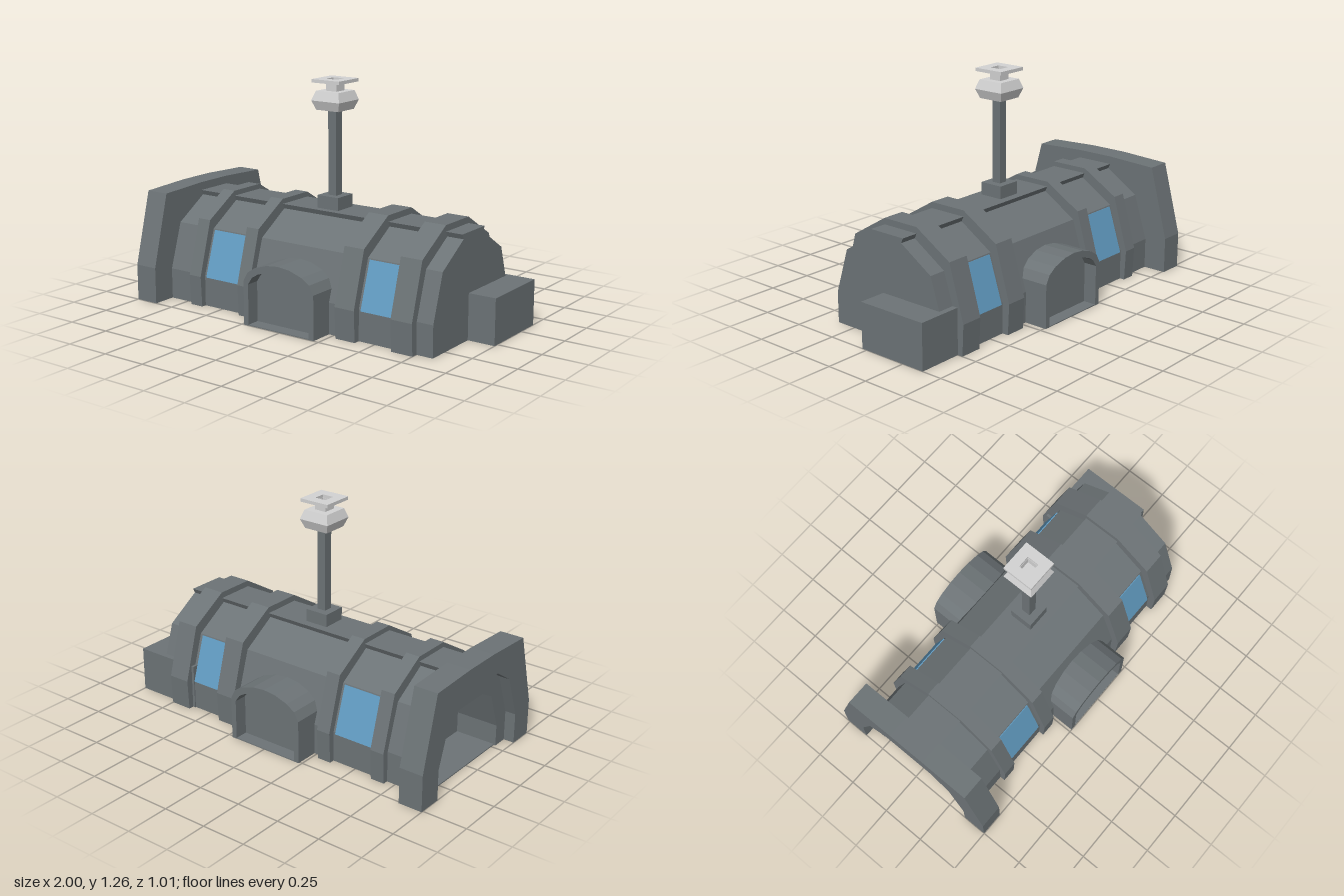
import * as THREE from 'three';

export function createModel() {
  const mat = (name, color) => {
    const m = new THREE.MeshStandardMaterial({ color });
    m.name = name;
    return m;
  };
  const grey = mat('hull grey', 0x6c7376);
  const blue = mat('window blue', 0x629cc2);
  const pale = mat('beacon pale grey', 0xd2d2d2);

  const model = new THREE.Group();
  model.name = 'habitatModule';
  const body = new THREE.Group();
  body.name = 'body';
  body.position.z = -0.006;
  model.add(body);

  const add = (name, geo, material, parent = body) => {
    const m = new THREE.Mesh(geo, material);
    m.name = name;
    parent.add(m);
    return m;
  };
  const box = (name, x0, x1, y0, y1, z0, z1, material, parent = body) => {
    const m = add(name, new THREE.BoxGeometry(x1 - x0, y1 - y0, z1 - z0), material, parent);
    m.position.set((x0 + x1) / 2, (y0 + y1) / 2, (z0 + z1) / 2);
    return m;
  };
  // Half profile [across, up] from the ground to the crown, mirrored into a full arch
  const arch = (half) => [...half, ...half.filter((p) => p[0] > 0).reverse().map(([a, y]) => [-a, y])];
  const shapeOf = (pts) => new THREE.Shape(pts.map(([a, y]) => new THREE.Vector2(a, y)));
  // Arch-shaped band, open at the bottom
  const bandOf = (outer, inner) => shapeOf([...arch(outer), ...arch(inner).reverse()]);
  const extrude = (shape, depth) => new THREE.ExtrudeGeometry(shape, { depth, bevelEnabled: false });
  const alongX = (name, shape, x0, x1) =>
    add(name, extrude(shape, x1 - x0).rotateY(Math.PI / 2).translate(x0, 0, 0), grey);

  // Hull with an overhanging strip along its crown
  const hull = [[0.371, 0], [0.371, 0.17], [0.291, 0.42], [0.097, 0.543], [0.11, 0.57]];
  const tunnel = [[0.28, 0], [0.28, 0.12], [0.21, 0.32], [0.12, 0.37]];
  alongX('hull', shapeOf(arch(hull)), -0.62, 0.845);
  alongX('tunnelHull', bandOf(hull, tunnel), -0.94, -0.62);
  box('tunnelFloor', -0.93, -0.62, 0, 0.006, -0.29, 0.29, grey);

  // Ribs around the hull
  const rib = (top, extra) => shapeOf(arch([
    [0.4 + extra, 0], [0.408 + extra, 0.17], [0.32 + extra, 0.472], [0.11, top],
  ]));
  for (const [x0, x1, top, extra] of [
    [-0.7, -0.62, 0.598, 0], [-0.36, -0.28, 0.598, 0],
    [0.285, 0.405, 0.604, 0.007], [0.625, 0.75, 0.604, 0.007],
  ]) alongX('rib', rib(top, extra), x0, x1);

  // Large portal frame at the end
  alongX('endPortal', bandOf(
    [[0.505, 0], [0.505, 0.2], [0.398, 0.602], [0.11, 0.615]],
    [[0.366, 0], [0.366, 0.17], [0.28, 0.41], [0.16, 0.49]],
  ), -1, -0.865);

  // Utility box at the other end
  box('utilityBox', 0.61, 1, 0, 0.25, -0.377, 0.035, grey);

  // Arched doorways and windows on both sides
  const doorOuter = [[0.227, 0], [0.227, 0.24], [0.2, 0.288], [0.152, 0.32], [0.075, 0.345], [0, 0.353]];
  const doorInner = [[0.197, 0], [0.197, 0.225], [0.17, 0.265], [0.13, 0.29], [0.065, 0.309], [0, 0.315]];
  const tilt = Math.atan2(0.08, 0.25);
  for (const side of [1, -1]) {
    const wall = new THREE.Group();
    wall.name = side > 0 ? 'frontWall' : 'backWall';
    body.add(wall);
    const frame = add('doorFrame', extrude(bandOf(doorOuter, doorInner), 0.255), grey, wall);
    const panel = add('doorPanel', extrude(shapeOf(arch(doorInner)), 0.18), grey, wall);
    for (const m of [frame, panel]) {
      m.position.set(-0.008, 0, side * 0.25);
      if (side < 0) m.rotation.y = Math.PI;
    }
    const sill = [side * 0.3, side * 0.504].sort((a, b) => a - b);
    box('doorSill', -0.21, 0.194, 0, 0.005, ...sill, grey, wall);
    for (const [x0, x1] of [[-0.605, -0.375], [0.42, 0.605]]) {
      const pane = add('window', new THREE.BoxGeometry(x1 - x0, 0.265, 0.008), blue, wall);
      pane.position.set((x0 + x1) / 2, 0.288, side * 0.335);
      pane.rotation.x = -side * tilt;
    }
  }

  // Mast with beacon
  const mast = new THREE.Group();
  mast.name = 'mast';
  mast.position.set(-0.008, 0, -0.003);
  model.add(mast);
  box('mastBase', -0.067, 0.067, 0.56, 0.64, -0.067, 0.067, grey, mast);
  box('mastPole', -0.026, 0.026, 0.63, 1.1, -0.026, 0.026, grey, mast);

  // Square tapered blocks form the lantern
  const taper = (name, top, bottom, y0, y1) => {
    const geo = new THREE.CylinderGeometry(top * Math.SQRT2, bottom * Math.SQRT2, y1 - y0, 4)
      .rotateY(Math.PI / 4).toNonIndexed();
    geo.computeVertexNormals();
    add(name, geo.translate(0, (y0 + y1) / 2, 0), pale, mast);
  };
  taper('lanternLower', 0.09, 0.071, 1.1, 1.15);
  taper('lanternUpper', 0.073, 0.09, 1.15, 1.2);

  // Hollow neck and cap plate
  const squareRing = (name, outer, inner, y0, y1) => {
    const square = (h) => [[-h, -h], [h, -h], [h, h], [-h, h]];
    const shape = shapeOf(square(outer));
    shape.holes.push(shapeOf(square(inner)));
    add(name, extrude(shape, y1 - y0).rotateX(-Math.PI / 2).translate(0, y0, 0), pale, mast);
  };
  squareRing('neck', 0.035, 0.031, 1.2, 1.246);
  squareRing('capPlate', 0.088, 0.033, 1.245, 1.263);

  return model;
}
